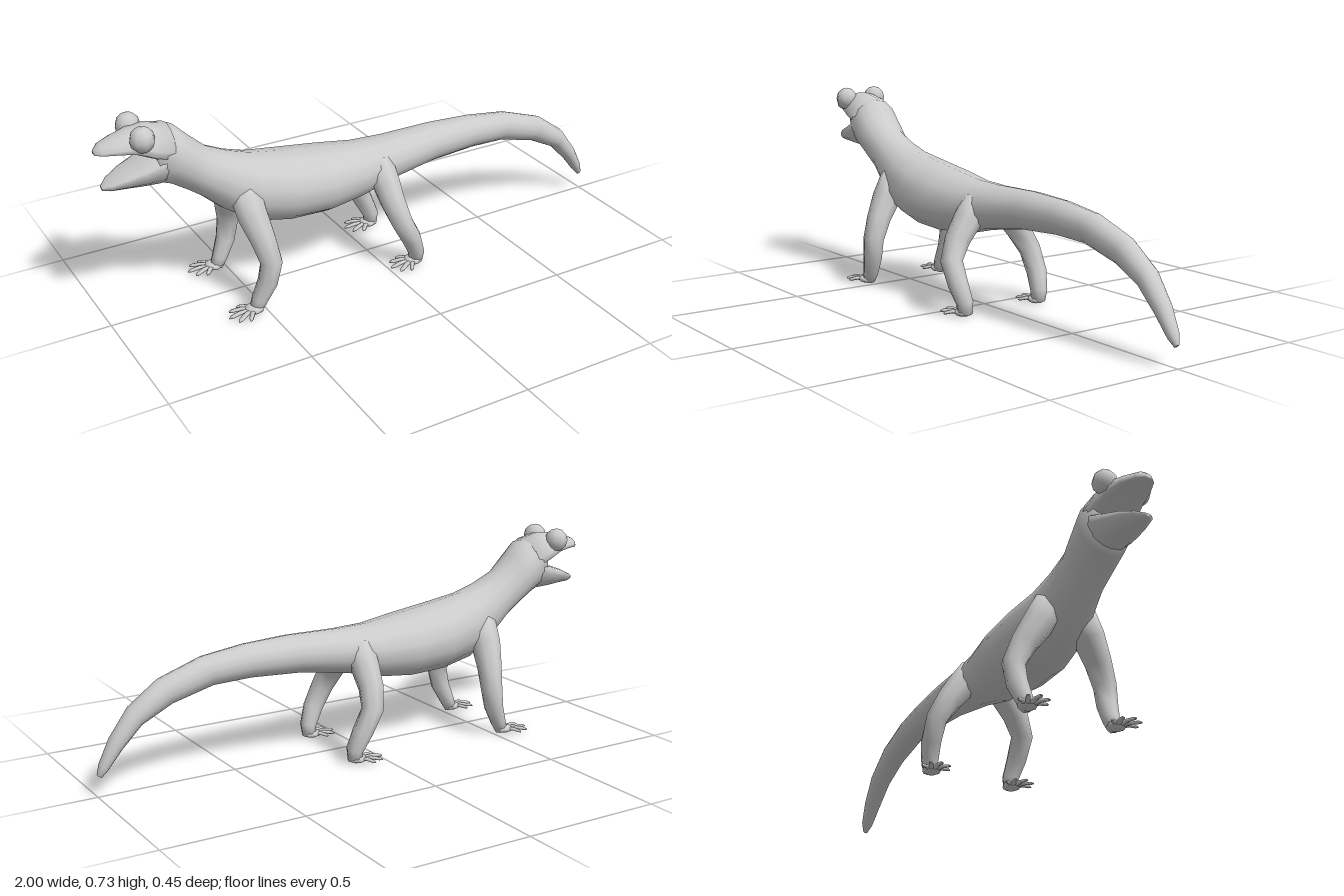
import * as THREE from 'three';

const material = new THREE.MeshStandardMaterial({ color: 0xcccccc });
const V = (x, y, z) => new THREE.Vector3(x, y, z);

// Closed, smooth skin over a list of rings of points
function skin(name, rings) {
  const n = rings[0].length, last = rings.length - 1;
  const pts = rings.flat(), index = [];
  for (let i = 0; i < last; i++) {
    for (let j = 0; j < n; j++) {
      const k = (j + 1) % n;
      const a = i * n + j, b = i * n + k, c = a + n, d = b + n;
      index.push(a, b, c, b, d, c);
    }
  }
  const centre = ring => ring.reduce((s, p) => s.add(p), V(0, 0, 0)).divideScalar(n);
  const start = pts.length, end = start + 1;
  pts.push(centre(rings[0]), centre(rings[last]));
  for (let j = 0; j < n; j++) {
    const k = (j + 1) % n;
    index.push(start, k, j, end, last * n + j, last * n + k);
  }
  const geo = new THREE.BufferGeometry().setFromPoints(pts);
  geo.setIndex(index);
  geo.computeVertexNormals();
  const mesh = new THREE.Mesh(geo, material);
  mesh.name = name;
  return mesh;
}

// Sections: [topX, topY, bottomX, bottomY, halfWidth]; belly = height of the widest line (0..1)
function loft(name, sections, belly = 0.5, n = 14) {
  return skin(name, sections.map(([tx, ty, bx, by, w]) => {
    const top = V(tx, ty, 0), bottom = V(bx, by, 0);
    const mid = bottom.clone().lerp(top, belly);
    return Array.from({ length: n }, (_, j) => {
      const a = j / n * Math.PI * 2, c = Math.cos(a);
      const p = mid.clone().lerp(c > 0 ? top : bottom, Math.abs(c));
      p.z = Math.sin(a) * w;
      return p;
    });
  }));
}

// Tapered limb through points [x, y, z, radius]
function limb(name, path, up, n = 8, flat = 1) {
  const pts = path.map(([x, y, z]) => V(x, y, z));
  return skin(name, pts.map((p, i) => {
    const dir = pts[Math.min(i + 1, pts.length - 1)].clone().sub(pts[Math.max(i - 1, 0)]).normalize();
    const u = up.clone().addScaledVector(dir, -up.dot(dir)).normalize();
    const v = dir.clone().cross(u);
    return Array.from({ length: n }, (_, j) => {
      const a = j / n * Math.PI * 2, r = path[i][3];
      return p.clone().addScaledVector(u, Math.cos(a) * r * flat).addScaledVector(v, Math.sin(a) * r);
    });
  }));
}

function ball(name, x, y, z, sx, sy, sz) {
  const mesh = new THREE.Mesh(new THREE.SphereGeometry(1, 8, 6), material);
  mesh.position.set(x, y, z);
  mesh.scale.set(sx, sy, sz);
  mesh.name = name;
  return mesh;
}

// Flat palm with five spread toes pointing forwards (-x)
function foot(name, x, z, side) {
  const g = new THREE.Group();
  g.name = name;
  g.add(ball('palm', x, 0.016, z * side, 0.036, 0.015, 0.034));
  const lengths = [0.066, 0.088, 0.098, 0.09, 0.07];
  lengths.forEach((len, i) => {
    const a = (i - 2) * 0.44 + 0.08;
    const at = (t, y, r) => [x - Math.cos(a) * len * t, y, side * (z + Math.sin(a) * len * t), r];
    g.add(limb('toe', [at(0.15, 0.014, 0.01), at(0.55, 0.018, 0.009), at(0.88, 0.013, 0.008), at(1, 0.01, 0.003)],
      V(0, 1, 0), 6, 0.75));
  });
  return g;
}

export function createModel() {
  const model = new THREE.Group();
  model.name = 'lizard';

  // Neck, trunk and tail in one skin
  model.add(loft('body', [
    [-0.81, 0.705, -0.81, 0.505, 0.08],
    [-0.73, 0.69, -0.765, 0.49, 0.097],
    [-0.68, 0.64, -0.705, 0.45, 0.092],
    [-0.62, 0.585, -0.645, 0.405, 0.085],
    [-0.54, 0.547, -0.58, 0.345, 0.097],
    [-0.46, 0.52, -0.47, 0.27, 0.116],
    [-0.34, 0.498, -0.34, 0.245, 0.14],
    [-0.18, 0.475, -0.2, 0.24, 0.14],
    [-0.04, 0.455, -0.07, 0.253, 0.115],
    [0.08, 0.451, 0.06, 0.285, 0.095],
    [0.28, 0.454, 0.25, 0.315, 0.075],
    [0.45, 0.446, 0.44, 0.325, 0.06],
    [0.61, 0.425, 0.58, 0.32, 0.05],
    [0.77, 0.37, 0.73, 0.28, 0.045],
    [0.88, 0.29, 0.84, 0.225, 0.04],
    [0.95, 0.195, 0.915, 0.148, 0.032],
    [0.99, 0.115, 0.963, 0.088, 0.022],
    [1.0, 0.078, 0.985, 0.065, 0.008],
  ]));

  // Open jaws, flat on the mouth side
  model.add(loft('upperJaw', [
    [-1, 0.662, -1, 0.645, 0.014],
    [-0.98, 0.68, -0.98, 0.643, 0.036],
    [-0.93, 0.695, -0.93, 0.642, 0.06],
    [-0.88, 0.709, -0.88, 0.634, 0.073],
    [-0.82, 0.714, -0.82, 0.605, 0.085],
    [-0.75, 0.7, -0.75, 0.58, 0.088],
  ], 0.2));
  model.add(loft('lowerJaw', [
    [-0.985, 0.527, -0.985, 0.514, 0.012],
    [-0.96, 0.543, -0.96, 0.509, 0.038],
    [-0.91, 0.566, -0.91, 0.507, 0.06],
    [-0.85, 0.588, -0.85, 0.502, 0.076],
    [-0.8, 0.61, -0.8, 0.499, 0.086],
    [-0.74, 0.62, -0.74, 0.5, 0.085],
  ], 0.8));

  for (const side of [1, -1]) {
    const tag = side > 0 ? 'left' : 'right';
    const s = path => path.map(([x, y, z, r]) => [x, y, z * side, r]);

    model.add(ball(tag + 'Eye', -0.858, 0.69, 0.064 * side, 0.043, 0.044, 0.043));

    // Front leg: shoulder, elbow, wrist
    model.add(limb(tag + 'FrontLeg', s([
      [-0.51, 0.41, 0.055, 0.058],
      [-0.505, 0.335, 0.1, 0.055],
      [-0.49, 0.26, 0.145, 0.046],
      [-0.478, 0.185, 0.177, 0.04],
      [-0.493, 0.11, 0.173, 0.036],
      [-0.522, 0.045, 0.165, 0.029],
      [-0.537, 0.012, 0.165, 0.024],
    ]), V(1, 0, 0)));
    model.add(foot(tag + 'FrontFoot', -0.545, 0.168, side));

    // Hind leg: hip, knee, ankle
    model.add(limb(tag + 'HindLeg', s([
      [0.02, 0.385, 0.045, 0.055],
      [0.024, 0.32, 0.095, 0.052],
      [0.028, 0.26, 0.138, 0.046],
      [0.045, 0.19, 0.175, 0.04],
      [0.085, 0.115, 0.175, 0.037],
      [0.112, 0.05, 0.165, 0.031],
      [0.11, 0.012, 0.163, 0.026],
    ]), V(1, 0, 0)));
    model.add(foot(tag + 'HindFoot', 0.1, 0.163, side));
  }
  return model;
}
